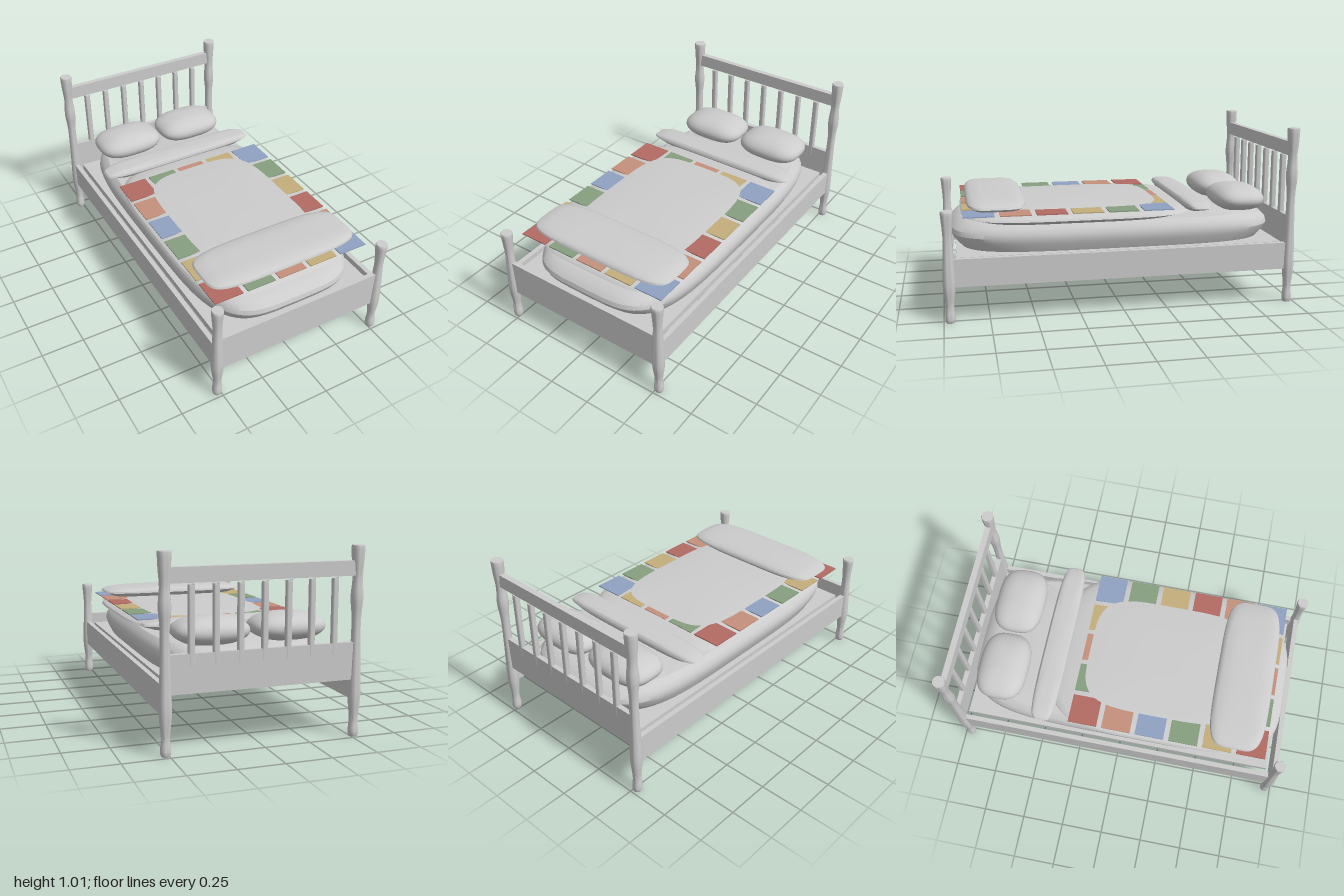
import * as THREE from 'three';
import { toCreasedNormals } from 'three/addons/utils/BufferGeometryUtils.js';

const mat = (name, color) => Object.assign(new THREE.MeshStandardMaterial({ color }), { name });

// Soft slab: rounded-rectangle rings stacked along a profile of [scale, y], bottom to top
function softSlab(halfX, halfZ, power, profile, crease = 0.5) {
  const seg = 72, pos = [], idx = [];
  const bend = (v) => Math.sign(v) * Math.pow(Math.abs(v), 2 / power);
  for (const [s, y] of profile) {
    for (let i = 0; i < seg; i++) {
      const a = (i / seg) * Math.PI * 2;
      pos.push(halfX * s * bend(Math.cos(a)), y, halfZ * s * bend(Math.sin(a)));
    }
  }
  for (let j = 0; j < profile.length - 1; j++) {
    for (let i = 0; i < seg; i++) {
      const k = (i + 1) % seg;
      const a = j * seg + i, b = j * seg + k, c = a + seg, d = b + seg;
      if (profile[j + 1][0] > 0) idx.push(a, c, d);
      if (profile[j][0] > 0) idx.push(a, d, b);
      else if (profile[j + 1][0] === 0) continue;
    }
  }
  const g = new THREE.BufferGeometry();
  g.setAttribute('position', new THREE.Float32BufferAttribute(pos, 3));
  g.setIndex(idx);
  return toCreasedNormals(g, crease);
}

// Turned post from [radius, y] points, smoothed, with closed ends
function turnedPost(points) {
  const curve = new THREE.SplineCurve(points.map(([r, y]) => new THREE.Vector2(r, y)));
  const top = points[points.length - 1][1];
  const prof = [new THREE.Vector2(0, 0), ...curve.getPoints(44), new THREE.Vector2(0, top)];
  return toCreasedNormals(new THREE.LatheGeometry(prof, 24), 0.9);
}

export function createModel() {
  const bed = new THREE.Group();
  bed.name = 'bed';
  const grey = mat('soft grey', 0xcccccc);
  const patchMats = [
    mat('patch red', 0xb36b64),
    mat('patch green', 0x879f80),
    mat('patch orange', 0xc5917b),
    mat('patch yellow', 0xc3ae7a),
    mat('patch blue', 0x90a2c2),
  ];

  const add = (name, geo, x, y, z, material = grey) => {
    const m = new THREE.Mesh(geo, material);
    m.name = name;
    m.position.set(x, y, z);
    bed.add(m);
    return m;
  };
  const box = (name, w, y0, y1, d, x, z, material) =>
    add(name, new THREE.BoxGeometry(w, y1 - y0, d), x, (y0 + y1) / 2, z, material);

  // Turned corner posts
  const footPost = turnedPost([
    [0.022, 0], [0.027, 0.015], [0.027, 0.04], [0.023, 0.1], [0.034, 0.2], [0.031, 0.33],
    [0.025, 0.46], [0.028, 0.53], [0.033, 0.59], [0.033, 0.61], [0.03, 0.618]]);
  const headPost = turnedPost([
    [0.022, 0], [0.027, 0.015], [0.027, 0.04], [0.023, 0.1], [0.033, 0.22], [0.028, 0.4],
    [0.024, 0.62], [0.033, 0.74], [0.026, 0.84], [0.032, 0.93], [0.035, 1.0], [0.033, 1.014]]);
  for (const side of [-1, 1]) {
    add('footPost', footPost, 0.518 * side, 0, 0.965);
    add('headPost', headPost, 0.518 * side, 0, -0.965);
    box('sideRail', 0.028, 0.2, 0.355, 1.9, 0.518 * side, 0);
  }

  // Foot board, head boards and spindles
  box('footBoard', 1.02, 0.195, 0.41, 0.028, 0, 0.965);
  box('lowerHeadBoard', 1.02, 0.31, 0.51, 0.028, 0, -0.965);
  box('topHeadRail', 1.02, 0.857, 0.935, 0.034, 0, -0.965);
  const spindle = turnedPost([[0.018, 0], [0.0185, 0.2], [0.0185, 0.38], [0.0175, 0.395]]);
  for (let i = -3; i <= 3; i++) add('spindle', spindle, i * 0.129 - 0.003, 0.45, -0.965);

  // Base and mattress
  box('bedBase', 0.96, 0.315, 0.35, 1.85, 0, -0.005);
  add('mattress', softSlab(0.478, 0.945, 4.2, [
    [0, 0.352], [0.94, 0.352], [0.985, 0.4], [1, 0.43], [0.993, 0.455],
    [0.965, 0.482], [0.91, 0.504], [0.6, 0.515], [0, 0.52]]), 0, 0, 0.005);

  // Domed quilt
  add('quilt', softSlab(0.5, 0.668, 4.2, [
    [0, 0.502], [0.87, 0.502], [1, 0.53], [0.985, 0.541], [0.94, 0.552],
    [0.85, 0.562], [0.71, 0.57], [0.4, 0.577], [0, 0.58]]), 0, 0, 0.22);

  // Patchwork squares, the middle ones covered by the quilt's dome
  const patch = new THREE.BoxGeometry(0.17, 0.006, 0.17);
  for (let r = 0; r < 6; r++) {
    for (let c = 0; c < 5; c++) {
      add('patch', patch, (c - 2) * 0.198 - 0.002, 0.567, -0.205 + r * 0.2, patchMats[(2 * r + c) % 5]);
    }
  }

  // Folded blanket at the foot and turned-down sheet at the head
  const foldProfile = (y0, y1) => [
    [0, 0], [0.87, 0], [1, 0.4], [0.985, 0.58], [0.93, 0.76], [0.82, 0.9], [0.5, 0.98], [0, 1]]
    .map(([s, t]) => [s, y0 + (y1 - y0) * t]);
  add('foldedBlanket', softSlab(0.465, 0.168, 4.5, foldProfile(0.575, 0.632)), -0.003, 0, 0.69);
  add('turnedSheet', softSlab(0.502, 0.077, 4.5, foldProfile(0.542, 0.596)), -0.003, 0, -0.453);

  // Pillows
  const plump = [];
  for (let i = 0; i <= 20; i++) {
    const t = (i / 20 - 0.5) * Math.PI;
    plump.push([i % 20 ? Math.pow(Math.cos(t), 0.85) : 0, 0.577 + 0.077 * Math.sin(t)]);
  }
  const pillow = softSlab(0.207, 0.148, 3, plump, 1.2);
  for (const side of [-1, 1]) add('pillow', pillow, 0.216 * side - 0.006, 0, -0.738);

  return bed;
}
